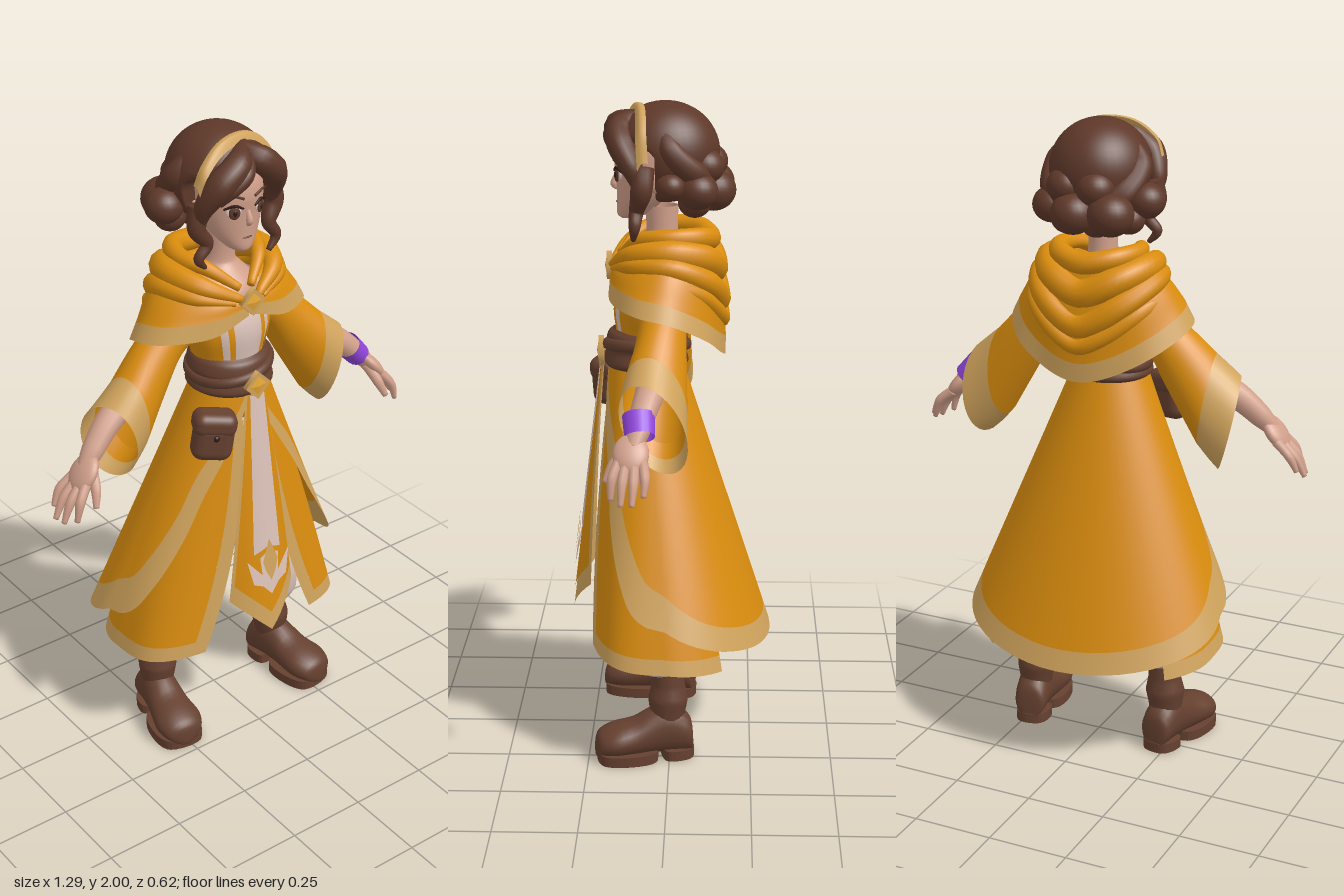
import * as THREE from 'three';
import { mergeVertices } from 'three/addons/utils/BufferGeometryUtils.js';
import { RoundedBoxGeometry } from 'three/addons/geometries/RoundedBoxGeometry.js';

const V = (x, y, z) => new THREE.Vector3(x, y, z);
const lerp = THREE.MathUtils.lerp;
const paint = (name, hex) => {
  const m = new THREE.MeshStandardMaterial({ color: hex, side: THREE.DoubleSide });
  m.name = name;
  return m;
};

// Surface through rows of points
function grid(rows) {
  const n = rows[0].length, pos = [], idx = [];
  rows.forEach((row, i) => row.forEach((p, j) => {
    pos.push(p.x, p.y, p.z);
    const a = i * n + j;
    if (i < rows.length - 1 && j < n - 1) idx.push(a, a + 1, a + n, a + 1, a + n + 1, a + n);
  }));
  let g = new THREE.BufferGeometry();
  g.setAttribute('position', new THREE.Float32BufferAttribute(pos, 3));
  g.setIndex(idx);
  g = mergeVertices(g, 1e-5);
  g.computeVertexNormals();
  return g;
}

// Smooth surface through a few guide rows, optionally mapped onto another surface
function loft(rows, nu, nv, map = p => p, closed = false) {
  const spline = (pts, c) => new THREE.CatmullRomCurve3(pts, c, 'catmullrom', 0.5);
  const fine = rows.map(r => spline(r, closed).getPoints(nu));
  const cols = fine[0].map((_, j) => spline(fine.map(r => r[j]), false).getPoints(nv).map(map));
  return grid(cols);
}
const ring = (c, a, b) => Array.from({ length: 16 }, (_, i) => {
  const t = i / 16 * Math.PI * 2;
  return c.clone().addScaledVector(a, Math.cos(t)).addScaledVector(b, Math.sin(t));
});
// Upright body from [y, half width, front z, back z]
const body = (list, nv = 16) => loft(list.map(([y, rx, zf, zb]) =>
  ring(V(0, y, (zf + zb) / 2), V(rx, 0, 0), V(0, 0, (zf - zb) / 2))), 40, nv, p => p, true);
// Rounded limb along [x, y, z, radius]
function taper(pts, sides = 12) {
  const c = new THREE.CatmullRomCurve3(pts.map(p => V(p[0], p[1], p[2])));
  const n = pts.length * 6, f = c.computeFrenetFrames(n), rows = [];
  for (let i = 0; i <= n; i++) {
    const t = c.getUtoTmapping(i / n), k = Math.min(Math.floor(t * (pts.length - 1)), pts.length - 2);
    const r = lerp(pts[k][3], pts[k + 1][3], t * (pts.length - 1) - k), p = c.getPoint(t);
    rows.push(Array.from({ length: sides + 1 }, (_, j) => {
      const a = (j % sides) / sides * Math.PI * 2;
      return p.clone().addScaledVector(f.normals[i], r * Math.cos(a)).addScaledVector(f.binormals[i], r * Math.sin(a));
    }));
  }
  rows.unshift(rows[0].map(() => c.getPoint(0)));
  rows.push(rows[0].map(() => c.getPoint(1)));
  return grid(rows);
}
const pts = list => list.map(p => V(p[0], p[1], p[2] || 0));
// Half a row from front to back, completed on the other side
const sym = half => pts(half).concat(pts(half).reverse().slice(1).map(p => V(-p.x, p.y, p.z)));
const symTube = half => half.concat(half.slice(0, -1).reverse().map(p => [-p[0], p[1], p[2], p[3]]));

// Flared skirt: angle 0 at the back, PI at the front, squarer at the front towards the hem
function skirt(phi, y, k = 1, dz = 0) {
  const t = (1.22 - y) / 0.87, rx = 0.115 + 0.35 * t, zf = 0.19 + 0.11 * t, zb = -0.03 - 0.28 * t;
  const c = -Math.cos(phi), depth = c > 0 ? Math.pow(c, 1 - 0.5 * Math.max(t, 0)) : c;
  return V(rx * k * Math.sin(phi), y, dz + (zf + zb) / 2 + (zf - zb) / 2 * k * depth);
}
const panelZ = (x, y) => 0.212 + 0.122 * (1.2 - y) - 3.2 * x * x;

export function createModel() {
  const root = new THREE.Group();
  root.name = 'robedFigure';
  const gold = paint('gold cloth', 0xd98c0e), cream = paint('cream trim', 0xd0a35c), leather = paint('brown leather', 0x65402f);
  const hair = paint('brown hair', 0x5e3829), white = paint('pale cloth', 0xdac1b7), skin = paint('skin', 0xd09f8a);
  const purple = paint('purple band', 0x9246dc), dark = paint('dark brown', 0x2f1a16), bright = paint('bright gold', 0xe3a636);

  const add = (name, geo, mat, at, rot, scale) => {
    const m = new THREE.Mesh(geo, mat);
    m.name = name;
    if (at) m.position.set(...at);
    if (rot) m.rotation.set(...rot);
    if (scale) m.scale.set(...scale);
    root.add(m);
    return m;
  };
  const pair = (name, geo, mat, at, rot, scale) => {
    const m = add(name + 'Left', geo, mat, at, rot, scale);
    m.updateMatrix();
    const g = geo.clone().applyMatrix4(m.matrix).scale(-1, 1, 1), ix = g.index.array;
    for (let i = 0; i < ix.length; i += 3) [ix[i], ix[i + 1]] = [ix[i + 1], ix[i]];
    add(name + 'Right', g, mat);
  };
  const ball = new THREE.SphereGeometry(1, 24, 16);

  // Boots and trousers
  pair('trouserLeg', taper([[0.07, 0.98, 0.06, 0.07], [0.1, 0.75, 0.05, 0.085], [0.16, 0.52, 0.035, 0.085],
    [0.205, 0.39, 0.025, 0.094], [0.222, 0.32, 0.015, 0.088], [0.225, 0.28, 0.01, 0.066]], 20), white);
  pair('bootShaft', taper([[0.225, 0.31, 0.008, 0.05], [0.228, 0.235, 0.005, 0.052], [0.23, 0.19, 0.005, 0.062],
    [0.232, 0.14, 0.005, 0.054], [0.234, 0.06, -0.01, 0.042]], 18), leather);
  pair('bootFoot', loft([[-0.072, 0.001, 0.07], [-0.07, 0.03, 0.08], [-0.058, 0.05, 0.12], [0.0, 0.056, 0.165], [0.06, 0.06, 0.145], [0.11, 0.068, 0.115],
    [0.17, 0.076, 0.1], [0.215, 0.058, 0.08], [0.23, 0.025, 0.055], [0.233, 0.001, 0.03]].map(([z, w, h]) =>
    ring(V(0, 0.014 + h / 2, z), V(w, 0, 0), V(0, w < 0.01 ? 0.001 : h / 2, 0))), 24, 27, p => p, true), leather, [0.234, 0, 0], [0, 0.17, 0]);
  // Boot soles with a separate heel block
  const soleGeo = half => {
    const all = half.concat(half.slice().reverse().map(([x, z]) => [-x, z]));
    const s = new THREE.Shape(new THREE.CatmullRomCurve3(pts(all), true).getPoints(32).map(p => new THREE.Vector2(p.x, p.y)));
    return mergeVertices(new THREE.ExtrudeGeometry(s, { depth: 0.032, bevelEnabled: false }));
  };
  [['bootHeel', [[0.03, -0.07], [0.052, -0.04], [0.05, 0.015]]], ['bootSole', [[0.055, 0.05], [0.078, 0.15], [0.055, 0.215]]]].forEach(([name, half]) =>
    pair(name, soleGeo(half), leather, [0.234, 0.032, 0], [Math.PI / 2, 0, -0.17]));

  // Under skirt side panels with trim
  const panel = (u0, u1, v0, v1) => grid(Array.from({ length: 33 }, (_, i) => Array.from({ length: 17 }, (_, j) => {
    const u = lerp(u0, u1, i / 32), v = lerp(v0, v1, j / 16), y = lerp(1.12, 0.36 - 0.05 * u, v);
    return skirt(Math.PI - lerp(0.22 + 0.36 * v * v, 2.28, u), y, 0.96 - 0.14 * v, 0.015 * v);
  })));
  pair('underSkirt', panel(0.09, 1, 0, 0.94), gold);
  pair('underSkirtHem', panel(0.09, 1, 0.94, 1), cream);
  pair('underSkirtEdge', panel(0, 0.09, 0, 1), cream);

  // Open overskirt: rows of (angle from front, height)
  const edge = list => sym(list.map(([t, y]) => [Math.PI - t, y]));
  const top = edge([0.12, 0.3, 0.6, 0.95, 1.35, 1.8, 2.4, Math.PI].map(t => [t, 1.24]));
  const inner = edge([[0.16, 1.21], [0.43, 1.13], [0.92, 0.975], [1.12, 0.83], [1.35, 0.695], [1.6, 0.58], [2.2, 0.47], [Math.PI, 0.41]]);
  const outer = edge([[0.1, 1.2], [0.29, 1.12], [0.74, 0.92], [0.95, 0.76], [1.2, 0.61], [1.5, 0.495], [2.2, 0.40], [Math.PI, 0.345]]);
  const onSkirt = p => skirt(p.x, p.y);
  add('overskirt', loft([top, inner], 120, 20, onSkirt), gold);
  add('overskirtTrim', loft([inner, outer], 120, 4, onSkirt), cream);

  // Front tabard in thin layers
  const tabard = (w0, w1, y0, y1, dip, off) => grid(Array.from({ length: 17 }, (_, i) => Array.from({ length: 13 }, (_, j) => {
    const v = i / 16, u = j / 6 - 1, x = lerp(w0, w1, v) * u, y = lerp(y0, y1, v) - dip * v * (1 - Math.abs(u));
    return V(x, y, panelZ(x, y) + off);
  })));
  add('tabardTrim', tabard(0.036, 0.122, 1.21, 0.52, 0.12, 0), cream);
  add('tabard', tabard(0.032, 0.108, 1.21, 0.575, 0.11, 0.004), gold);
  add('tabardStripe', tabard(0.026, 0.05, 1.21, 0.68, -0.02, 0.008), white);
  const emblem = (half, off) => {
    const all = half.concat(half.slice(1, -1).reverse().map(p => [-p[0], p[1]]));
    const g = new THREE.ShapeGeometry(new THREE.Shape(all.map(p => new THREE.Vector2(...p)))), a = g.attributes.position;
    for (let i = 0; i < a.count; i++) a.setZ(i, panelZ(a.getX(i) * 0.6, a.getY(i)) + off);
    g.computeVertexNormals();
    return g;
  };
  add('tabardFlame', emblem([[0, 0.69], [0.035, 0.67], [0.03, 0.61], [0.08, 0.67], [0.062, 0.585], [0.03, 0.57], [0, 0.535]], 0.012), white);
  add('tabardFlameLeaf', emblem([[0, 0.73], [0.028, 0.655], [0.018, 0.62], [0, 0.585]], 0.016), cream);

  // Torso, bodice sides and belt
  const torso = [[1.18, 0.115, 0.18, -0.03], [1.28, 0.105, 0.165, -0.03], [1.38, 0.13, 0.175, -0.045], [1.45, 0.135, 0.16, -0.055], [1.52, 0.12, 0.12, -0.06]];
  add('bodice', body(torso), white);
  const bodiceStrip = (a0, a1, off) => loft(torso.slice(0, 4).map(([y, rx, zf, zb]) => [0, 0.25, 0.5, 0.75, 1].map(k => {
    const a = lerp(a0, a1, k);
    return V((rx + off) * Math.sin(a), y, (zf + zb) / 2 + ((zf - zb) / 2 + off) * Math.cos(a));
  })), 12, 12);
  pair('bodiceSide', bodiceStrip(0.68, 1.9, 0.005), gold);
  pair('bodiceBand', bodiceStrip(0.36, 0.5, 0.006), gold);
  add('chest', body([[1.44, 0.11, 0.155, -0.03], [1.52, 0.1, 0.14, -0.05], [1.57, 0.06, 0.09, -0.03], [1.6, 0.045, 0.075, -0.02], [1.69, 0.043, 0.08, -0.02]]), skin);
  add('belt', body([[1.2, 0.122, 0.198, -0.04], [1.215, 0.135, 0.206, -0.052], [1.25, 0.124, 0.2, -0.042], [1.27, 0.13, 0.2, -0.05],
    [1.3, 0.122, 0.193, -0.045], [1.315, 0.108, 0.175, -0.03]], 30), leather);
  add('beltSash', new THREE.TorusGeometry(0.126, 0.013, 8, 48), leather, [0, 1.262, 0.075], [Math.PI / 2, 0.16, 0], [1, 0.98, 1.4]);
  const diamond = (name, y, z, r) => {
    add(name + 'Frame', new THREE.CylinderGeometry(r, r, 0.016, 4), cream, [0, y, z], [Math.PI / 2, 0, 0]);
    add(name + 'Gem', new THREE.OctahedronGeometry(r * 0.66), bright, [0, y, z + 0.008], null, [1, 1, 0.18]);
  };
  diamond('beltBuckle', 1.24, 0.215, 0.046);
  diamond('capeClasp', 1.505, 0.188, 0.044);

  // Belt pouch
  add('pouch', new RoundedBoxGeometry(0.125, 0.13, 0.08, 4, 0.035), leather, [-0.152, 1.1, 0.2], [0, -0.45, -0.14]);
  add('pouchFlap', new RoundedBoxGeometry(0.132, 0.075, 0.09, 4, 0.03), leather, [-0.145, 1.155, 0.2], [0, -0.45, -0.14]);
  add('pouchButton', ball, dark, [-0.168, 1.125, 0.243], null, [0.01, 0.01, 0.007]);

  // Shoulder cape with trim, back hem lower than the front
  const neckRow = sym([[0.02, 1.51, 0.17], [0.07, 1.56, 0.13], [0.11, 1.6, 0.06], [0.12, 1.62, -0.01], [0.09, 1.62, -0.08], [0.045, 1.62, -0.1], [0, 1.62, -0.105]]);
  const midRow = sym([[0.015, 1.5, 0.182], [0.11, 1.51, 0.16], [0.19, 1.52, 0.085], [0.215, 1.52, 0], [0.17, 1.5, -0.09], [0.09, 1.46, -0.14], [0, 1.44, -0.155]]);
  const trimRow = sym([[0.01, 1.49, 0.185], [0.125, 1.47, 0.172], [0.24, 1.455, 0.095], [0.265, 1.435, -0.005], [0.205, 1.38, -0.1], [0.1, 1.32, -0.15], [0, 1.295, -0.165]]);
  const hemRow = sym([[0.01, 1.46, 0.187], [0.135, 1.42, 0.178], [0.265, 1.405, 0.1], [0.29, 1.385, -0.005], [0.222, 1.325, -0.107], [0.105, 1.262, -0.152], [0, 1.237, -0.165]]);
  add('shoulderCape', loft([neckRow, midRow, trimRow], 72, 14), gold);
  add('shoulderCapeTrim', loft([trimRow, hemRow], 72, 4), cream);

  // Lowered hood folds
  [[[0.02, 1.54, 0.155, 0.012], [0.095, 1.6, 0.09, 0.022], [0.125, 1.61, 0, 0.028], [0.085, 1.605, -0.085, 0.032], [0, 1.59, -0.115, 0.034]],
    [[0.03, 1.515, 0.178, 0.012], [0.13, 1.56, 0.115, 0.03], [0.16, 1.57, 0, 0.042], [0.105, 1.545, -0.1, 0.044], [0, 1.5, -0.125, 0.046]],
    [[0.05, 1.505, 0.176, 0.008], [0.15, 1.53, 0.115, 0.024], [0.185, 1.53, -0.005, 0.036], [0.125, 1.475, -0.112, 0.038], [0, 1.405, -0.14, 0.04]],
    [[0.14, 1.5, 0.125, 0.006], [0.205, 1.49, 0.02, 0.022], [0.17, 1.45, -0.085, 0.026], [0.08, 1.38, -0.138, 0.028], [0, 1.345, -0.15, 0.028]]
  ].forEach((half, i) => add('hoodFold' + (i + 1), taper(symTube(half)), gold));

  // Wide sleeves: [top x, top y, bottom x, bottom y, centre z, half depth, backward lean below, forward turn of the opening]
  const sleeve = (list, s = 1) => loft(list.map(([ax, ay, bx, by, z, d, lean, turn]) =>
    ring(V((ax + bx) / 2, (ay + by) / 2, z), V((ax - bx) / 2 * s, (ay - by) / 2 * s, lean), V(-turn * s, 0, d * s))), 32, 16, p => p, true);
  const cuff = [[0.36, 1.31, 0.325, 1.035, 0.037, 0.09, 0.022, 0.018], [0.395, 1.28, 0.36, 0.998, 0.04, 0.092, 0.028, 0.028], [0.435, 1.245, 0.392, 0.97, 0.042, 0.095, 0.034, 0.038]];
  pair('sleeve', sleeve([[0.1, 1.51, 0.1, 1.35, 0.025, 0.06, 0, 0], [0.21, 1.445, 0.16, 1.31, 0.02, 0.068, 0, 0], [0.29, 1.38, 0.225, 1.2, 0.025, 0.076, 0.01, 0.008], cuff[0]]), gold);
  pair('sleeveCuff', sleeve(cuff), cream);
  pair('sleeveLining', sleeve(cuff.slice(0, 2), 0.95), gold);

  // Arms and hands
  pair('forearm', taper([[0.24, 1.3, 0.03, 0.045], [0.36, 1.23, 0.045, 0.046], [0.44, 1.18, 0.065, 0.04], [0.5, 1.125, 0.083, 0.034], [0.54, 1.083, 0.096, 0.022]]), skin);
  pair('palm', ball, skin, [0.543, 1.077, 0.1], [0, 0, -0.9], [0.062, 0.025, 0.052]);
  [[0.058, 0.625, 0.975], [0.09, 0.64, 0.952], [0.122, 0.632, 0.95], [0.152, 0.605, 0.96]].forEach(([z, x, y], i) =>
    pair('finger' + (i + 1), taper([[0.555, 1.06, 0.1 + (z - 0.105) * 0.7, 0.016], [(0.575 + x) / 2, (1.06 + y) / 2 + 0.005, z, 0.0145], [x, y, z + 0.004, 0.008]], 8), skin));
  pair('thumb', taper([[0.52, 1.09, 0.11, 0.018], [0.535, 1.04, 0.152, 0.016], [0.55, 0.995, 0.174, 0.009]], 8), skin);
  add('wristBand', new THREE.CylinderGeometry(0.041, 0.038, 0.07, 20, 1, true), purple, [0.484, 1.142, 0.079], [0.1, 0, 0.76], [1, 1, 1.15]);

  // Head and face
  add('head', body([[1.65, 0.012, 0.15, 0.115], [1.665, 0.04, 0.163, 0.07], [1.71, 0.075, 0.163, 0.02], [1.77, 0.097, 0.166, -0.02],
    [1.83, 0.102, 0.17, -0.04], [1.88, 0.095, 0.155, -0.05], [1.93, 0.07, 0.11, -0.04]], 30), skin);
  add('nose', taper([[0, 1.79, 0.16, 0.006], [0, 1.752, 0.172, 0.011], [0, 1.738, 0.162, 0.005]], 8), skin);
  add('mouth', ball, leather, [0, 1.7, 0.162], null, [0.017, 0.003, 0.004]);
  pair('eyeWhite', ball, white, [0.046, 1.785, 0.157], [0, 0.46, 0], [0.023, 0.018, 0.006]);
  pair('iris', ball, hair, [0.046, 1.785, 0.161], [0, 0.46, 0], [0.017, 0.02, 0.005]);
  pair('pupil', ball, dark, [0.046, 1.785, 0.164], [0, 0.46, 0], [0.007, 0.01, 0.004]);
  pair('eyelid', taper([[0.02, 1.796, 0.17, 0.003], [0.045, 1.807, 0.163, 0.005], [0.073, 1.797, 0.145, 0.003]], 6), dark);
  pair('eyebrow', taper([[0.02, 1.826, 0.171, 0.004], [0.048, 1.837, 0.164, 0.004], [0.075, 1.831, 0.146, 0.002]], 6), hair);
  pair('ear', ball, skin, [0.102, 1.77, 0.045], null, [0.014, 0.03, 0.022]);

  // Hair cap, hollowed around the face
  const cap = new THREE.SphereGeometry(1, 40, 28).scale(0.153, 0.15, 0.162).translate(0.003, 1.85, 0.018), cp = cap.attributes.position;
  for (let i = 0; i < cp.count; i++) cp.setZ(i, Math.min(cp.getZ(i), 0.045 + Math.max(0, cp.getY(i) - 1.86) * 2));
  cap.computeVertexNormals();
  add('hairCap', cap, hair);
  // Fringe, side curls and crown waves
  [[[0.03, 1.96, 0.09, 0.02], [-0.03, 1.925, 0.155, 0.042], [-0.095, 1.88, 0.16, 0.043], [-0.13, 1.81, 0.13, 0.03], [-0.13, 1.75, 0.115, 0.012]],
    [[0.0, 1.96, 0.09, 0.02], [0.05, 1.925, 0.15, 0.04], [0.1, 1.88, 0.145, 0.042], [0.135, 1.815, 0.11, 0.033], [0.14, 1.75, 0.09, 0.014]],
    [[0.02, 1.945, 0.13, 0.02], [-0.02, 1.9, 0.178, 0.026], [-0.065, 1.865, 0.18, 0.02], [-0.095, 1.82, 0.16, 0.006]],
    [[0.13, 1.82, 0.08, 0.035], [0.152, 1.75, 0.085, 0.032], [0.125, 1.69, 0.1, 0.022], [0.148, 1.645, 0.105, 0.017], [0.118, 1.605, 0.11, 0.008]],
    [[-0.125, 1.81, 0.1, 0.034], [-0.14, 1.74, 0.11, 0.027], [-0.108, 1.69, 0.115, 0.019], [-0.138, 1.65, 0.115, 0.016], [-0.112, 1.615, 0.11, 0.007]],
    [[-0.1, 1.93, 0.02, 0.02], [-0.13, 1.87, 0.0, 0.04], [-0.11, 1.8, -0.07, 0.04], [-0.04, 1.76, -0.12, 0.03]],
    [[0.1, 1.93, 0.02, 0.02], [0.135, 1.87, 0.0, 0.036], [0.115, 1.8, -0.07, 0.04], [0.04, 1.76, -0.12, 0.03]]
  ].forEach((lock, i) => add('hairLock' + (i + 1), taper(lock), hair));
  // Gathered curls at the back
  [[-0.162, 1.775, -0.02, 0.058], [-0.092, 1.745, -0.118, 0.07], [0.025, 1.74, -0.125, 0.068], [0.115, 1.75, -0.08, 0.06],
    [-0.04, 1.815, -0.11, 0.058], [0.06, 1.815, -0.1, 0.058], [0.135, 1.765, 0.0, 0.044], [-0.12, 1.72, -0.05, 0.048], [0.07, 1.71, -0.07, 0.05], [-0.03, 1.71, -0.08, 0.05]
  ].forEach(([x, y, z, r], i) => add('hairCurl' + (i + 1), ball, hair, [x, y, z], null, [r, r * 0.92, r]));
  // Headband: flat strip over the crown
  const band = [[-0.152, 1.88, 0.122], [-0.13, 1.933, 0.126], [-0.07, 1.98, 0.113], [0.005, 1.993, 0.096], [0.077, 1.977, 0.086], [0.136, 1.922, 0.082], [0.166, 1.84, 0.076]];
  const bandRow = (dy, dz) => pts(band.map(([x, y, z]) => [x, y + dy, z + dz]));
  add('headband', loft([bandRow(-0.026, 0.02), bandRow(-0.002, 0.006), bandRow(-0.002, -0.012)], 40, 6), cream);
  return root;
}
